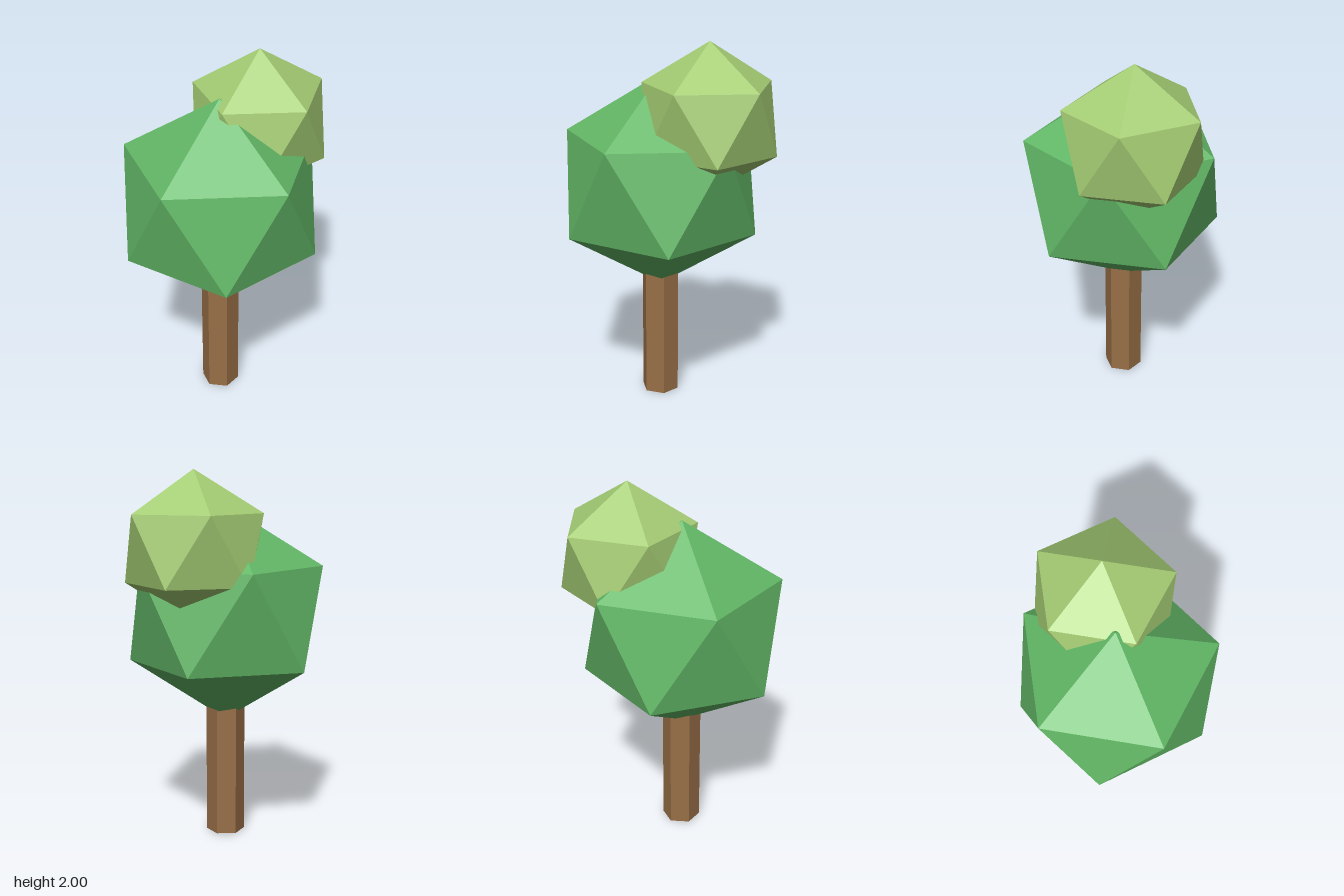
import * as THREE from 'three';

function material(name, color) {
  const m = new THREE.MeshStandardMaterial({ color, flatShading: true });
  m.name = name;
  return m;
}

// Icosahedron standing on a corner, with an upper-ring corner pointing to +x
function foliage(name, radius, mat, x, y, z) {
  const geometry = new THREE.IcosahedronGeometry(radius, 0);
  geometry.rotateZ(-Math.atan(2 / (1 + Math.sqrt(5))));
  const mesh = new THREE.Mesh(geometry, mat);
  mesh.name = name;
  mesh.position.set(x, y, z);
  return mesh;
}

export function createModel() {
  const tree = new THREE.Group();
  tree.name = 'tree';

  const bark = material('bark brown', 0x986e46);
  const green = material('leaf green', 0x62b766);
  const lightGreen = material('light leaf green', 0xa4cc73);

  // Hexagonal trunk, its top hidden inside the crown
  const trunkHeight = 0.9;
  const trunk = new THREE.Mesh(new THREE.CylinderGeometry(0.105, 0.105, trunkHeight, 6), bark);
  trunk.name = 'trunk';
  trunk.position.set(-0.053, trunkHeight / 2, 0);
  tree.add(trunk);

  // Large crown and the smaller clump on its upper left
  tree.add(foliage('mainCrown', 0.587, green, -0.05, 1.227, 0));
  tree.add(foliage('smallCrown', 0.402, lightGreen, 0.213, 1.598, -0.107));

  return tree;
}
